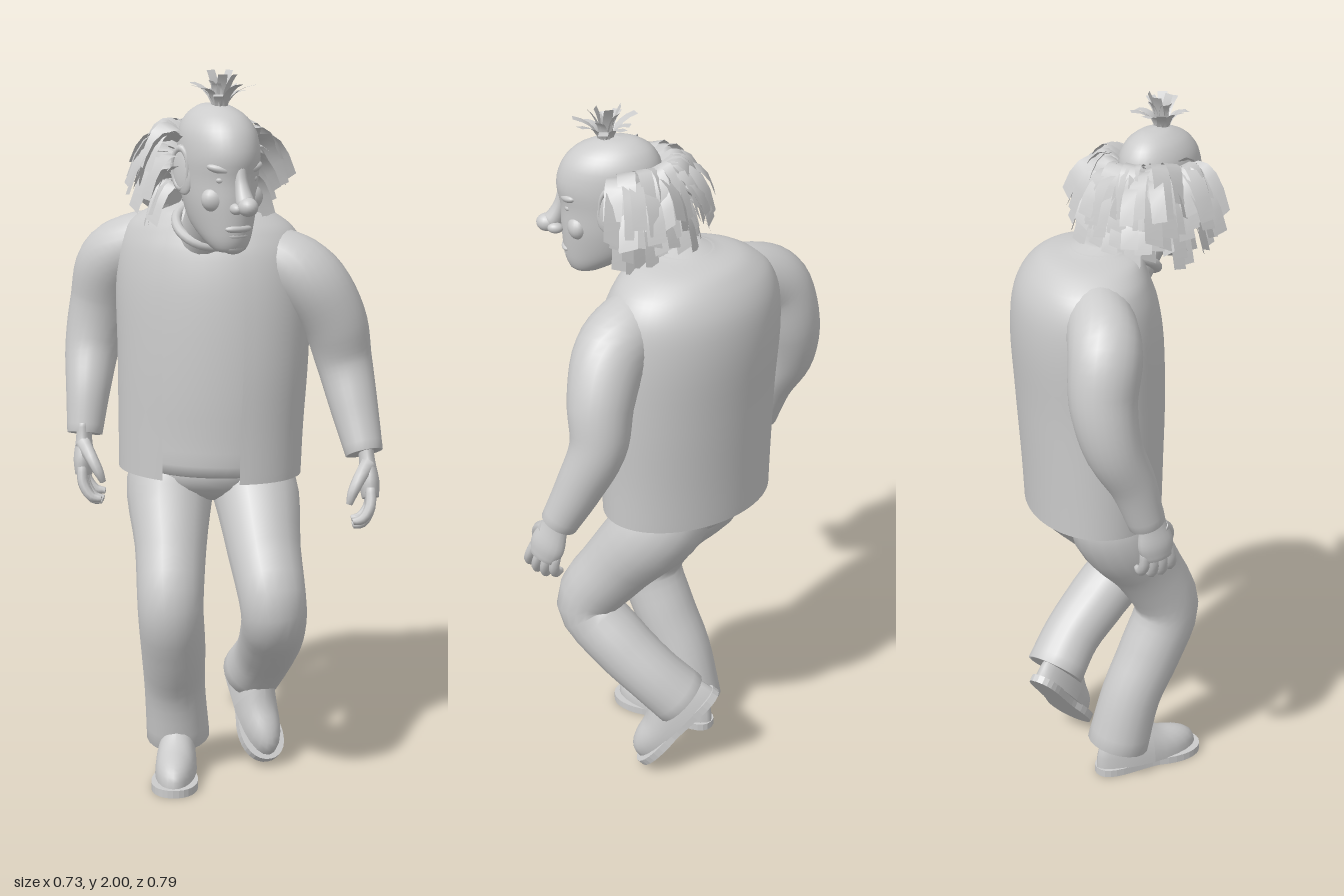
import * as THREE from 'three';

const V = (x, y, z) => new THREE.Vector3(x, y, z);
const grey = new THREE.MeshStandardMaterial({ color: 0xcccccc });
const thin = new THREE.MeshStandardMaterial({ color: 0xcccccc, side: THREE.DoubleSide });

let seed = 7;
const rnd = (a, b) => {
  seed = (seed * 16807) % 2147483647;
  return a + (b - a) * (seed / 2147483647);
};

function add(parent, name, geometry, material = grey) {
  const mesh = new THREE.Mesh(geometry, material);
  mesh.name = name;
  parent.add(mesh);
  return mesh;
}

// Skin a list of elliptical rings { c, u, v }; an arc [from, to] leaves the skin open
function loft(rings, n = 28, arc = null) {
  const pos = [], idx = [], cols = arc ? n + 1 : n;
  for (const { c, u, v } of rings) {
    for (let j = 0; j < cols; j++) {
      const t = arc ? arc[0] + (arc[1] - arc[0]) * j / n : j / n * Math.PI * 2;
      const p = c.clone().addScaledVector(u, Math.cos(t)).addScaledVector(v, Math.sin(t));
      pos.push(p.x, p.y, p.z);
    }
  }
  for (let i = 0; i < rings.length - 1; i++) {
    for (let j = 0; j < n; j++) {
      const k = (j + 1) % cols, a = i * cols, b = a + cols;
      idx.push(a + j, b + j, a + k, a + k, b + j, b + k);
    }
  }
  const g = new THREE.BufferGeometry();
  g.setAttribute('position', new THREE.Float32BufferAttribute(pos, 3));
  g.setIndex(idx);
  g.computeVertexNormals();
  return g;
}

// Closed limb along a smooth path; each point is [x, y, z, radius]
function limb(points, n = 20, steps = 24, flat = 1) {
  const curve = new THREE.CatmullRomCurve3(points.map(p => V(p[0], p[1], p[2])));
  const radius = new THREE.CatmullRomCurve3(points.map((p, i) => V(i, p[3], 0)));
  const rings = [];
  for (let i = 0; i <= steps; i++) {
    const t = i / steps, c = curve.getPoint(t), d = curve.getTangent(t), r = radius.getPoint(t).y;
    const v = V(1, 0, 0).cross(d).normalize(), u = d.clone().cross(v);
    const ring = k => ({ c, u: u.clone().multiplyScalar(r * k * flat), v: v.clone().multiplyScalar(r * k) });
    if (i === 0) rings.push(ring(0.001), ring(0.9));
    rings.push(ring(1));
    if (i === steps) rings.push(ring(0.9), ring(0.001));
  }
  return loft(rings, n);
}

// Horizontal rings [y, cx, cz, halfWidth, halfDepth], turned by yaw
function stack(rows, yaw = 0, scale = 1) {
  const c = Math.cos(yaw), s = Math.sin(yaw);
  const path = new THREE.CatmullRomCurve3(rows.map(r => V(r[1], r[0], r[2])));
  const size = new THREE.CatmullRomCurve3(rows.map(r => V(r[3], r[0], r[4])));
  return Array.from({ length: 33 }, (_, i) => {
    const q = size.getPoint(i / 32);
    return { c: path.getPoint(i / 32), u: V(c, 0, s).multiplyScalar(Math.max(q.x, 0.001) * scale),
      v: V(-s, 0, c).multiplyScalar(Math.max(q.z, 0.001) * scale) };
  });
}

function ball(parent, name, x, y, z, rx, ry, rz) {
  const m = add(parent, name, new THREE.SphereGeometry(1, 20, 14));
  m.position.set(x, y, z);
  m.scale.set(rx, ry, rz);
  return m;
}

// Flat curved lock of hair, rolled about its own direction
function lock(p0, p1, p2, width, roll = 0) {
  const curve = new THREE.QuadraticBezierCurve3(p0, p1, p2), g = new THREE.PlaneGeometry(1, 1, 1, 5);
  const dir = p2.clone().sub(p0).normalize();
  const side = dir.clone().cross(V(0, 1, 0)).normalize().applyAxisAngle(dir, roll);
  const p = g.attributes.position;
  for (let i = 0; i < p.count; i++) {
    const q = curve.getPoint(p.getY(i) + 0.5).addScaledVector(side, p.getX(i) * width);
    p.setXYZ(i, q.x, q.y, q.z);
  }
  g.computeVertexNormals();
  return g;
}

// Hand hanging down from the wrist, thumb towards +z, palm towards -s on x
function makeHand(name, s) {
  const hand = new THREE.Group();
  hand.name = name;
  hand.scale.setScalar(1.12);
  add(hand, 'palm', limb([[0, 0.03, 0, 0.034], [0, -0.01, 0, 0.036], [0, -0.06, 0, 0.046], [0, -0.1, 0, 0.038]], 16, 12, 0.55));
  for (let i = 0; i < 4; i++) {
    const z = 0.031 - i * 0.021, l = [0.92, 1, 0.95, 0.75][i];
    add(hand, 'finger', limb([[0, -0.08, z, 0.013], [-s * 0.004, -0.08 - 0.045 * l, z * 1.15, 0.013],
      [-s * 0.026, -0.08 - 0.08 * l, z * 1.2, 0.012], [-s * 0.05, -0.08 - 0.085 * l, z * 1.2, 0.008]], 8, 9));
  }
  add(hand, 'thumb', limb([[0, -0.02, 0.02, 0.02], [-s * 0.025, -0.055, 0.046, 0.016],
    [-s * 0.045, -0.09, 0.052, 0.013], [-s * 0.055, -0.115, 0.044, 0.008]], 8, 9));
  return hand;
}

// Shoe pointing to +z, sole resting on y = 0
function makeShoe(name) {
  const shoe = new THREE.Group();
  shoe.name = name;
  const print = new THREE.Shape();
  print.moveTo(0, -0.165);
  print.bezierCurveTo(0.065, -0.165, 0.04, -0.05, 0.052, 0.02);
  print.bezierCurveTo(0.085, 0.11, 0.055, 0.175, 0, 0.175);
  print.bezierCurveTo(-0.055, 0.175, -0.085, 0.11, -0.052, 0.02);
  print.bezierCurveTo(-0.04, -0.05, -0.065, -0.165, 0, -0.165);
  const sole = new THREE.ExtrudeGeometry(print, { depth: 0.022, bevelEnabled: false, curveSegments: 10 });
  add(shoe, 'sole', sole.rotateX(-Math.PI / 2).rotateY(Math.PI));
  const upper = new THREE.SphereGeometry(1, 24, 20), p = upper.attributes.position;
  for (let i = 0; i < p.count; i++) {
    const z = p.getZ(i), rise = 0.08 + 0.07 * THREE.MathUtils.smoothstep(-z, -0.4, 0.5);
    p.setXYZ(i, p.getX(i) * (0.058 + 0.008 * z), 0.02 + Math.max(0, p.getY(i)) ** 0.8 * rise, z * 0.163);
  }
  upper.computeVertexNormals();
  add(shoe, 'upper', upper);
  return shoe;
}

export function createModel() {
  const man = new THREE.Group();
  man.name = 'stoopingMan';

  // Torso, turned to its right: shirt inside an open jacket
  const yaw = 0.8;
  const torso = [[0.87, -0.015, -0.04, 0.262, 0.188], [1.0, -0.012, -0.04, 0.265, 0.193], [1.2, -0.005, -0.04, 0.272, 0.202],
    [1.4, 0, -0.05, 0.275, 0.203], [1.5, 0, -0.055, 0.262, 0.188], [1.56, -0.005, -0.055, 0.23, 0.163],
    [1.605, -0.015, -0.045, 0.16, 0.13], [1.625, -0.03, -0.03, 0.07, 0.07]];
  add(man, 'jacket', loft(stack(torso, yaw), 48, [Math.PI / 2 + 0.28, Math.PI * 2.5 - 0.58]), thin);
  add(man, 'shirt', loft(stack([[0.875, -0.02, -0.04, 0.001, 0.001], [0.88, -0.02, -0.04, 0.24, 0.175],
    ...torso.slice(1), [1.625, -0.03, -0.03, 0.001, 0.001]], yaw, 0.95), 40));

  // Sleeves
  add(man, 'leftSleeve', limb([[0.03, 1.515, 0.02, 0.07], [0.11, 1.475, 0.085, 0.092], [0.19, 1.42, 0.145, 0.1],
    [0.26, 1.31, 0.17, 0.091], [0.293, 1.19, 0.175, 0.078], [0.298, 1.07, 0.225, 0.066], [0.298, 0.95, 0.285, 0.052]], 24, 32));
  add(man, 'rightSleeve', limb([[-0.07, 1.52, -0.13, 0.072], [-0.14, 1.495, -0.2, 0.09], [-0.2, 1.44, -0.27, 0.098],
    [-0.22, 1.32, -0.31, 0.09], [-0.25, 1.2, -0.31, 0.078], [-0.285, 1.08, -0.265, 0.063], [-0.31, 0.96, -0.235, 0.05]], 24, 32));

  // Hands
  const leftHand = makeHand('leftHand', 1);
  leftHand.position.set(0.3, 0.94, 0.295);
  leftHand.rotation.set(-0.38, -0.45, -0.08);
  const rightHand = makeHand('rightHand', -1);
  rightHand.position.set(-0.318, 0.96, -0.222);
  rightHand.rotation.set(-0.2, -0.55, -0.1);
  man.add(leftHand, rightHand);

  // Trousers
  ball(man, 'trouserSeat', -0.015, 0.88, -0.05, 0.205, 0.1, 0.15).rotation.y = -0.5;
  add(man, 'leftTrouserLeg', limb([[0.065, 0.93, -0.05, 0.1], [0.09, 0.83, 0.025, 0.122], [0.06, 0.67, 0.15, 0.103],
    [0.045, 0.525, 0.238, 0.092], [0.085, 0.42, 0.15, 0.09], [0.115, 0.33, 0.05, 0.085], [0.12, 0.25, -0.035, 0.087]]));
  add(man, 'rightTrouserLeg', limb([[-0.09, 0.93, -0.09, 0.1], [-0.115, 0.83, -0.085, 0.123], [-0.16, 0.67, 0.01, 0.1],
    [-0.192, 0.52, 0.075, 0.092], [-0.165, 0.38, 0.035, 0.09], [-0.135, 0.25, -0.02, 0.086], [-0.11, 0.09, -0.052, 0.09]]));

  // Shoes: the left pushes off its toe, the right stands flat
  const leftShoe = makeShoe('leftShoe');
  leftShoe.position.set(0.112, 0.143, -0.035);
  leftShoe.rotation.x = 0.85;
  const rightShoe = makeShoe('rightShoe');
  rightShoe.position.set(-0.155, 0, 0.03);
  rightShoe.rotation.y = -0.5;
  man.add(leftShoe, rightShoe);

  // Neck, collar and head
  add(man, 'neck', limb([[-0.05, 1.5, 0, 0.085], [-0.075, 1.58, 0.08, 0.07], [-0.09, 1.66, 0.14, 0.068]]));
  const collar = add(man, 'collar', new THREE.TorusGeometry(0.082, 0.014, 10, 32));
  collar.position.set(-0.07, 1.57, 0.05);
  collar.rotation.x = -0.95;
  const head = new THREE.Group();
  head.name = 'head';
  head.position.x = -0.092;
  man.add(head);
  add(head, 'skull', loft(stack([[1.525, 0, 0.245, 0.001, 0.001], [1.53, 0, 0.24, 0.036, 0.036], [1.555, 0, 0.22, 0.058, 0.072],
    [1.6, 0, 0.19, 0.077, 0.11], [1.66, 0, 0.178, 0.091, 0.126], [1.72, 0, 0.17, 0.097, 0.135],
    [1.78, 0, 0.172, 0.101, 0.143], [1.84, 0, 0.165, 0.094, 0.132], [1.88, 0, 0.157, 0.071, 0.102],
    [1.905, 0, 0.148, 0.034, 0.05], [1.91, 0, 0.148, 0.001, 0.001]]), 36));
  add(head, 'noseBridge', limb([[0, 1.755, 0.295, 0.016], [0, 1.71, 0.306, 0.018], [0, 1.665, 0.328, 0.025], [0, 1.655, 0.345, 0.02]], 14, 14));
  ball(head, 'noseTip', 0, 1.657, 0.342, 0.026, 0.025, 0.03);
  ball(head, 'upperLip', 0, 1.594, 0.288, 0.038, 0.012, 0.016);
  ball(head, 'lowerLip', 0, 1.575, 0.28, 0.032, 0.012, 0.017);
  ball(head, 'chin', 0, 1.545, 0.258, 0.034, 0.022, 0.028);
  for (const s of [-1, 1]) {
    ball(head, 'nostril', s * 0.022, 1.65, 0.318, 0.016, 0.015, 0.022);
    ball(head, 'eye', s * 0.042, 1.722, 0.277, 0.018, 0.011, 0.012);
    ball(head, 'cheek', s * 0.048, 1.67, 0.252, 0.04, 0.036, 0.03);
    ball(head, 'brow', s * 0.043, 1.75, 0.277, 0.04, 0.014, 0.02).rotation.set(0, s * 0.42, s * 0.2);
    ball(head, 'ear', s * 0.1, 1.74, 0.165, 0.014, 0.066, 0.036).rotation.set(-0.15, -s * 0.35, 0);
    const rim = add(head, 'earRim', new THREE.TorusGeometry(0.04, 0.008, 8, 20));
    rim.position.set(s * 0.106, 1.745, 0.163);
    rim.rotation.y = Math.PI / 2 - s * 0.35;
    rim.scale.set(0.7, 1.3, 1);
  }

  // Bushy fringe round the back of the head
  const layers = [[1.83, 0.85], [1.805, 0.98], [1.775, 1], [1.735, 0.93], [1.695, 0.8]];
  for (const [y0, reach] of layers) {
    for (let i = 0; i <= 22; i++) {
      const a = i / 22 * Math.PI + rnd(-0.06, 0.06), k = reach * rnd(0.88, 1.08), y = y0 + rnd(-0.015, 0.015);
      const at = (rx, rz, h) => V(rx * Math.cos(a), h, 0.135 - rz * Math.sin(a));
      add(head, 'hairLock', lock(at(0.085, 0.1, y), at(0.17 * k, 0.21 * k, y + 0.06),
        at(0.218 * k, 0.24 * k, y - rnd(0.06, 0.11)), rnd(0.035, 0.055), rnd(-0.7, 0.7)), thin);
    }
  }

  // Upright tuft on the crown
  for (let i = 0; i < 18; i++) {
    const a = i / 9 * Math.PI, outer = i % 2 === 0, r = outer ? rnd(0.06, 0.1) : rnd(0.02, 0.05), h = outer ? rnd(1.935, 1.97) : rnd(1.96, 2);
    const at = (q, y) => V(q * Math.cos(a), y, 0.18 + q * Math.sin(a));
    add(head, 'crownLock', lock(at(0.012, 1.89), at(r * 0.3, 1.95), at(r, h), 0.026), thin);
  }
  return man;
}
